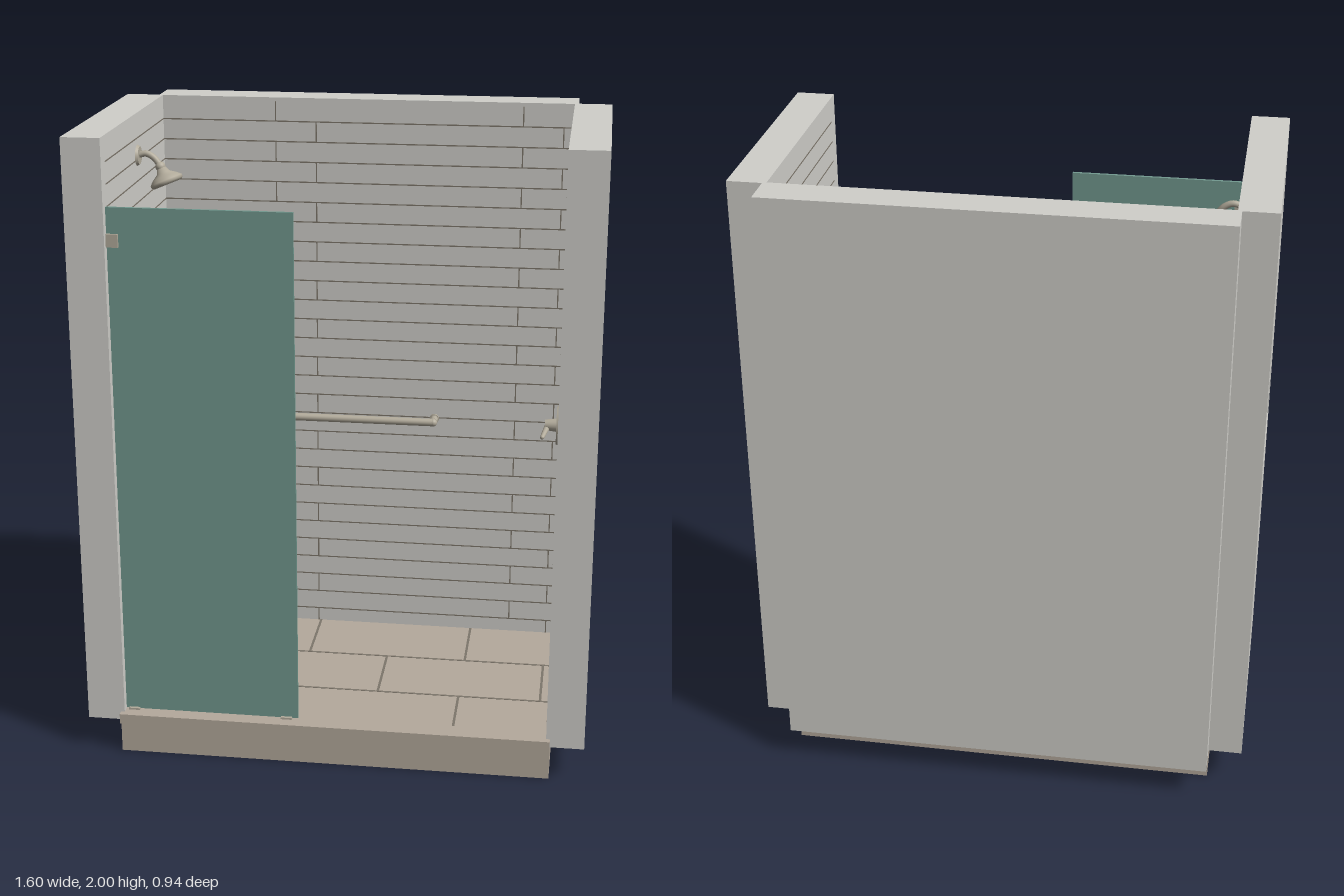
import * as THREE from 'three';

const mat = (name, color) => new THREE.MeshStandardMaterial({ name, color });

export function createModel() {
  const root = new THREE.Group();
  root.name = 'walkInShower';
  const wall = mat('wallGrey', 0xd0cfca);
  const stone = mat('stoneBeige', 0xb4a99c);
  const grout = mat('groutBrown', 0x7d766b);
  const glass = mat('glassTeal', 0x72998f);
  const metal = mat('brushedNickel', 0xb2ab9b);

  const add = (name, geo, material, parent = root) => {
    const m = new THREE.Mesh(geo, material);
    m.name = name;
    parent.add(m);
    return m;
  };
  // box given by its limits on each axis
  const box = (name, x0, x1, y0, y1, z0, z1, material, parent = root) => {
    const m = add(name, new THREE.BoxGeometry(x1 - x0, y1 - y0, z1 - z0), material, parent);
    m.position.set((x0 + x1) / 2, (y0 + y1) / 2, (z0 + z1) / 2);
    return m;
  };
  const group = (name) => {
    const g = new THREE.Group();
    g.name = name;
    root.add(g);
    return g;
  };

  // base, curb and floor
  box('base', -0.69, 0.69, 0, 0.108, -0.355, 0.45, stone);
  box('curb', -0.69, 0.69, 0.105, 0.138, 0.4, 0.467, stone);
  box('floor', -0.678, 0.678, 0.1, 0.128, -0.355, 0.4, stone);

  // walls
  box('backWall', -0.69, 0.69, 0.11, 2, -0.472, -0.353, wall);
  box('leftWall', 0.678, 0.798, 0.11, 2, -0.36, 0.447, wall);
  box('rightWall', -0.778, -0.678, 0.11, 2, -0.36, 0.447, wall);

  // outer skin of the right wall with a shallow recess
  const rect = (C, z0, z1, y0, y1) => {
    const s = new C();
    s.moveTo(z0, y0).lineTo(z1, y0).lineTo(z1, y1).lineTo(z0, y1).closePath();
    return s;
  };
  const skin = rect(THREE.Shape, -0.36, 0.447, 0.11, 2);
  skin.holes.push(rect(THREE.Path, -0.19, 0.27, 1.04, 1.29));
  const skinGeo = new THREE.ExtrudeGeometry(skin, { depth: 0.02, bevelEnabled: false });
  skinGeo.rotateY(-Math.PI / 2).translate(-0.778, 0, 0);
  add('rightWallSkin', skinGeo, wall);

  // wall tile joints in a running bond
  const wallJoints = group('wallJoints');
  const pitch = 0.0672, w = 0.002, t = 0.001;
  for (let k = 0; k < 28; k++) {
    const y = 0.175 + k * pitch;
    if (y < 1.98) {
      box('backRowJoint', -0.678, 0.678, y - w, y + w, -0.354, -0.353 + t, grout, wallJoints);
      for (const s of [-1, 1]) {
        const a = s * 0.678, b = s * (0.678 - t);
        box('sideRowJoint', Math.min(a, b), Math.max(a, b), y - w, y + w, -0.353, 0.4, grout, wallJoints);
      }
    }
    for (const x of k % 2 ? [-0.3, 0.515] : [-0.165, 0.646])
      box('backEndJoint', x - w, x + w, y - pitch + w, Math.min(y - w, 2), -0.354, -0.353 + t, grout, wallJoints);
  }

  // floor tile joints
  const floorJoints = group('floorJoints');
  const fw = 0.004, fy = 0.1275, fy1 = 0.129;
  for (const z of [-0.09, 0.176])
    box('rowJoint', -0.678, 0.678, fy, fy1, z - fw, z + fw, grout, floorJoints);
  const rows = [
    [-0.353, -0.094, [-0.157, 0.38]],
    [-0.086, 0.172, [-0.426, 0.112, 0.648]],
    [0.18, 0.4, [-0.157, 0.38]],
  ];
  for (const [z0, z1, xs] of rows)
    for (const x of xs)
      box('endJoint', x - fw, x + fw, fy, fy1, z0, z1, grout, floorJoints);

  // linear drain: a dark tray and a mosaic of chips
  const drain = group('linearDrain');
  box('drainTray', -0.47, -0.43, 0.12, 0.1305, -0.345, 0.4, grout, drain);
  let seed = 7;
  const rnd = () => (seed = (seed * 16807) % 2147483647) / 2147483647;
  for (let i = 0; i < 74; i++) {
    for (let j = 0; j < 4; j++) {
      const x = -0.4645 + j * 0.0095, z = -0.34 + i * 0.01, r = 0.0035 + rnd() * 0.001;
      box('drainChip', x - r, x + r, 0.13, 0.132, z - r, z + r, rnd() < 0.5 ? glass : metal, drain);
    }
  }

  // glass screen with its clips
  box('glassScreen', -0.678, -0.115, 0.14, 1.79, 0.41, 0.42, glass);
  box('upperClip', -0.678, -0.642, 1.67, 1.71, 0.4, 0.43, metal);
  for (const x of [-0.65, -0.152])
    box('lowerClip', x - 0.018, x + 0.018, 0.137, 0.144, 0.4, 0.43, metal);

  // rods, run between two points
  const up = new THREE.Vector3(0, 1, 0);
  const rod = (name, a, b, r0, r1, parent) => {
    const p = new THREE.Vector3(...a), q = new THREE.Vector3(...b);
    const d = q.clone().sub(p);
    const m = add(name, new THREE.CylinderGeometry(r1, r0, d.length(), 24), metal, parent);
    m.position.copy(p).add(q).multiplyScalar(0.5);
    m.quaternion.setFromUnitVectors(up, d.normalize());
    return m;
  };
  const ball = (name, x, y, z, r, parent) =>
    add(name, new THREE.SphereGeometry(r, 20, 14), metal, parent).position.set(x, y, z);

  // grab bar
  const bar = group('grabBar');
  rod('rail', [-0.33, 0.912, -0.306], [0.24, 0.912, -0.306], 0.013, 0.013, bar);
  for (const x of [-0.332, 0.24]) {
    rod('post', [x, 0.912, -0.354], [x, 0.912, -0.312], 0.013, 0.013, bar);
    rod('postFlange', [x, 0.912, -0.354], [x, 0.912, -0.345], 0.016, 0.016, bar);
    ball('railEnd', x, 0.912, -0.306, 0.0135, bar);
  }

  // shower head on a bent arm
  const shower = group('showerHead');
  const z0 = 0.012;
  rod('armFlange', [-0.679, 1.868, z0], [-0.67, 1.868, z0], 0.034, 0.028, shower);
  const arm = new THREE.CatmullRomCurve3([
    [-0.678, 1.868, z0], [-0.65, 1.874, z0], [-0.625, 1.862, z0 + 0.002], [-0.605, 1.838, z0 + 0.005],
  ].map((p) => new THREE.Vector3(...p)));
  add('arm', new THREE.TubeGeometry(arm, 20, 0.01, 14), metal, shower);
  ball('swivel', -0.604, 1.835, 0.017, 0.016, shower);
  const profile = [[0, -0.056], [0.046, -0.056], [0.053, -0.05], [0.053, -0.042], [0.04, -0.03], [0.022, -0.018], [0.013, 0], [0, 0]];
  const head = add('sprayHead', new THREE.LatheGeometry(profile.map((p) => new THREE.Vector2(...p)), 32), metal, shower);
  head.position.set(-0.602, 1.832, 0.018);
  head.rotation.set(-0.12, 0, 0.4);

  // mixer valve with lever
  const valve = group('mixerValve');
  rod('valvePlate', [0.678, 1.027, 0], [0.665, 1.027, 0], 0.066, 0.062, valve);
  rod('valveStem', [0.668, 1.027, 0], [0.628, 1.027, 0], 0.022, 0.017, valve);
  rod('valveLever', [0.636, 1.022, 0], [0.622, 1.004, 0.058], 0.01, 0.007, valve);
  ball('leverTip', 0.622, 1.004, 0.058, 0.007, valve);

  return root;
}
